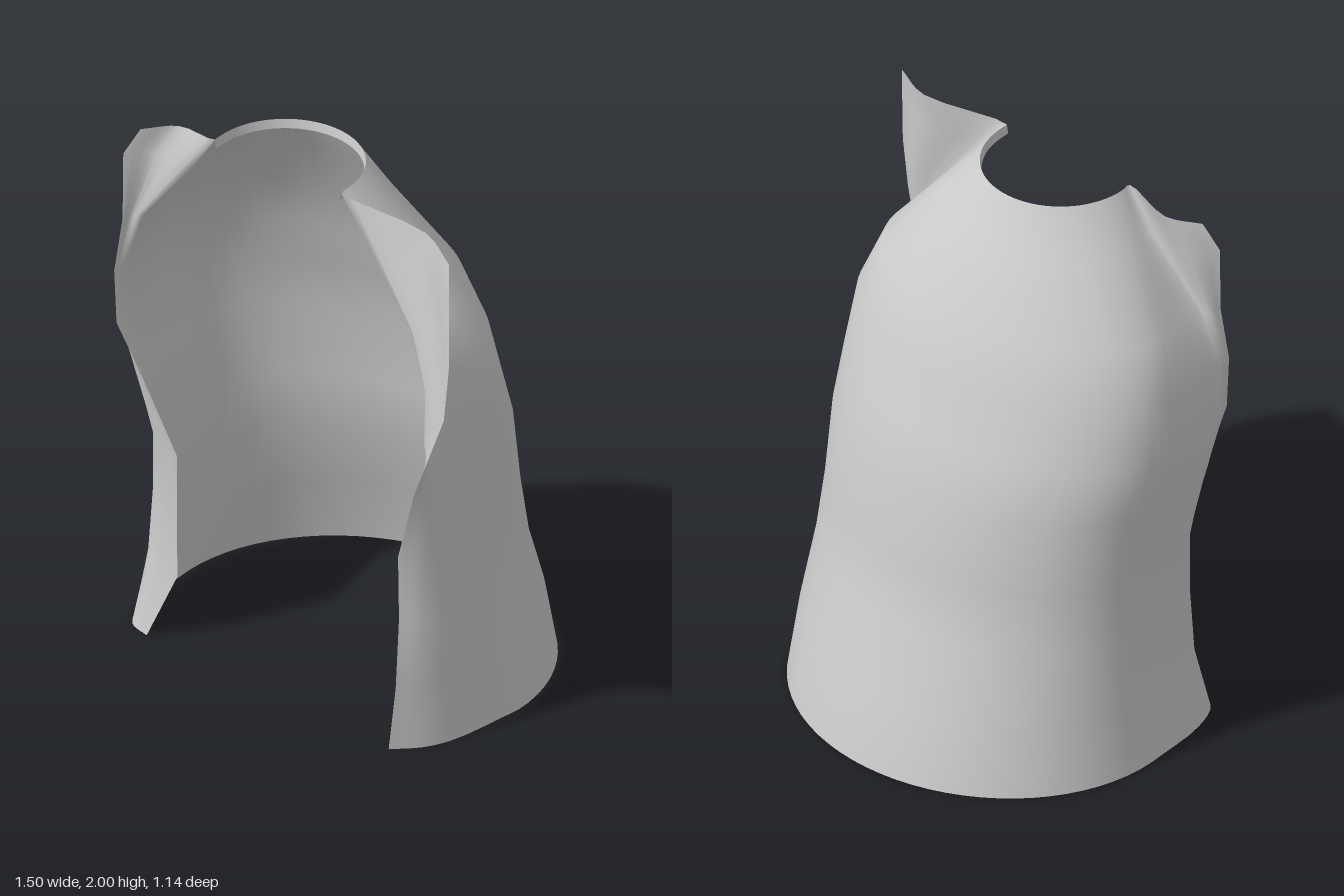
import * as THREE from 'three';

// Shell cross-sections, bottom to top: [y, right side x, left side x, back z, z of widest point]
const shell = [
  [0, -0.755, 0.66, -0.57, 0.07],
  [0.25, -0.72, 0.635, -0.51, 0.08],
  [0.5, -0.70, 0.61, -0.41, 0.09],
  [0.73, -0.70, 0.59, -0.37, 0.10],
  [1.0, -0.72, 0.58, -0.34, 0.12],
  [1.2, -0.75, 0.58, -0.27, 0.17],
  [1.4, -0.72, 0.565, -0.20, 0.20],
  [1.6, -0.66, 0.49, -0.135, 0.24],
  [1.85, -0.47, 0.29, 0.02, 0.32],
  [2.0, -0.37, 0.17, 0.10, 0.37],
];

// Front panels, same rows: crease x z, middle x z, free edge x z
const leftFront = [
  [0.61, 0.36, 0.56, 0.46, 0.48, 0.54],
  [0.60, 0.36, 0.56, 0.46, 0.51, 0.54],
  [0.59, 0.35, 0.55, 0.45, 0.50, 0.51],
  [0.58, 0.33, 0.54, 0.43, 0.48, 0.49],
  [0.575, 0.40, 0.565, 0.46, 0.555, 0.50],
  [0.57, 0.46, 0.61, 0.50, 0.66, 0.56],
  [0.56, 0.45, 0.65, 0.49, 0.74, 0.57],
  [0.49, 0.44, 0.62, 0.45, 0.75, 0.555],
  [0.29, 0.415, 0.52, 0.41, 0.715, 0.51],
  [0.17, 0.41, 0.52, 0.395, 0.69, 0.48],
];
const rightFront = [
  [-0.74, 0.33, -0.69, 0.45, -0.605, 0.48],
  [-0.71, 0.33, -0.63, 0.42, -0.505, 0.44],
  [-0.69, 0.33, -0.61, 0.42, -0.50, 0.45],
  [-0.69, 0.33, -0.61, 0.42, -0.50, 0.45],
  [-0.72, 0.36, -0.69, 0.44, -0.62, 0.48],
  [-0.74, 0.40, -0.735, 0.46, -0.71, 0.51],
  [-0.72, 0.44, -0.725, 0.475, -0.72, 0.51],
  [-0.66, 0.43, -0.69, 0.45, -0.70, 0.49],
  [-0.47, 0.41, -0.62, 0.41, -0.705, 0.48],
  [-0.37, 0.41, -0.55, 0.38, -0.655, 0.45],
];

const BACK = 36, FRONT = 12;

// Points from the side of the shell through the crease to the free edge
function frontCurve(sideX, sideZ, y, p, droop) {
  const curve = new THREE.CatmullRomCurve3([
    new THREE.Vector3(sideX, y, sideZ),
    new THREE.Vector3(p[0], y, p[1]),
    new THREE.Vector3(p[2], y - droop * 0.6, p[3]),
    new THREE.Vector3(p[4], y - droop, p[5]),
  ]);
  return curve.getPoints(FRONT);
}

// Half ellipse round the back, from left side to right side
function backCurve([y, xr, xl, zb, zc], inset = 0) {
  const pts = [], cx = (xl + xr) / 2, rx = (xl - xr) / 2 - inset, rz = zc - zb - inset;
  for (let i = 0; i <= BACK; i++) {
    const a = Math.PI * i / BACK;
    pts.push(new THREE.Vector3(cx + rx * Math.cos(a), y, zc - rz * Math.sin(a)));
  }
  return pts;
}

// Skin between rows of equal length
function loft(rows) {
  const w = rows[0].length, index = [];
  for (let r = 0; r < rows.length - 1; r++) {
    for (let i = 0; i < w - 1; i++) {
      const a = r * w + i, b = a + w;
      index.push(a, a + 1, b, a + 1, b + 1, b);
    }
  }
  const g = new THREE.BufferGeometry().setFromPoints(rows.flat());
  g.setIndex(index);
  g.computeVertexNormals();
  return g;
}

export function createModel() {
  const group = new THREE.Group();
  group.name = 'openVest';
  const cloth = new THREE.MeshStandardMaterial({ color: 0xcccccc, side: THREE.DoubleSide });
  cloth.name = 'light grey cloth';

  // Body with both flared lapels as one sheet
  const rows = shell.map((s, r) => {
    const [y, xr, xl, , zc] = s;
    const droop = r === shell.length - 1 ? 0.05 : 0;
    const left = frontCurve(xl, zc, y, leftFront[r], droop).reverse();
    const right = frontCurve(xr, zc, y, rightFront[r], droop);
    return [...left.slice(0, -1), ...backCurve(s), ...right.slice(1)];
  });
  const body = new THREE.Mesh(loft(rows), cloth);
  body.name = 'vestBody';
  group.add(body);

  // Narrow hem turned down inside the neckline
  const neck = shell[shell.length - 1];
  const withEnds = (pts) => [
    new THREE.Vector3(pts[0].x, pts[0].y, 0.41), ...pts,
    new THREE.Vector3(pts[BACK].x, pts[BACK].y, 0.41),
  ];
  const lower = backCurve([1.967, ...neck.slice(1)], 0.006);
  const hem = new THREE.Mesh(loft([withEnds(backCurve(neck)), withEnds(lower)]), cloth);
  hem.name = 'neckHem';
  group.add(hem);

  return group;
}
